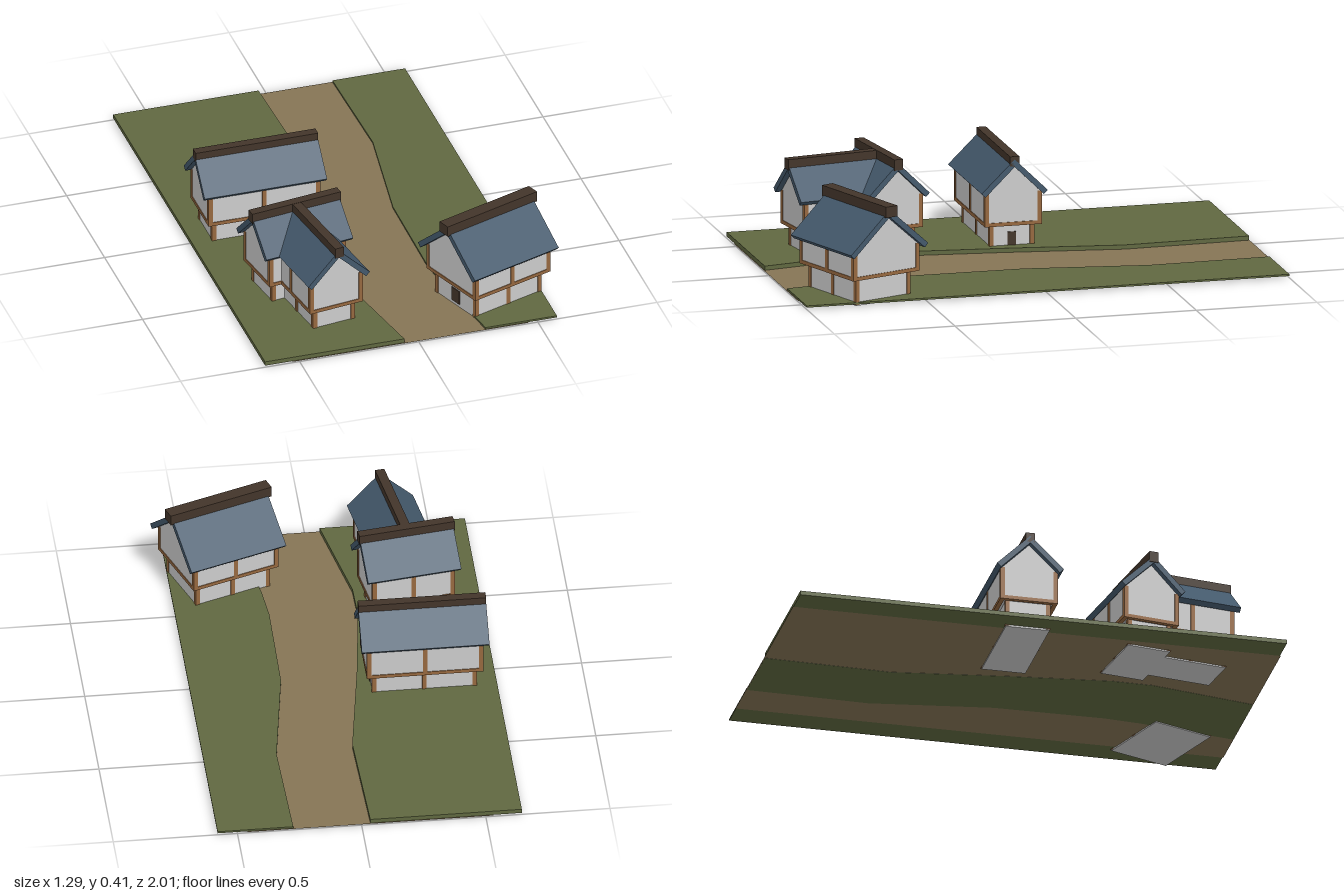
import * as THREE from 'three';

const mat = (color, extra = {}) => new THREE.MeshStandardMaterial({ color, flatShading: true, ...extra });
const wall = mat(0xcccccc);
const wood = mat(0x96683f);
const slate = mat(0x44596c);
const dark = mat(0x43352a);
const grass = mat(0x606840);
const dirt = mat(0x857455, { side: THREE.DoubleSide });

function add(parent, name, geometry, material, x = 0, y = 0, z = 0) {
  const mesh = new THREE.Mesh(geometry, material);
  mesh.name = name;
  mesh.position.set(x, y, z);
  parent.add(mesh);
  return mesh;
}

function box(parent, name, material, x0, x1, y0, y1, z0, z1) {
  return add(parent, name, new THREE.BoxGeometry(x1 - x0, y1 - y0, z1 - z0), material,
    (x0 + x1) / 2, (y0 + y1) / 2, (z0 + z1) / 2);
}

// Extrude a [z, y] cross-section along x, centred
function prism(points, length) {
  const shape = new THREE.Shape(points.map(p => new THREE.Vector2(...p)));
  return new THREE.ExtrudeGeometry(shape, { depth: length, bevelEnabled: false })
    .translate(0, 0, -length / 2).rotateY(Math.PI / 2);
}

// One gabled block, ridge along x; half = half roof length
function gabledBlock({ half, lower, upper, eave, eaveY, ridgeWidth, ridgeTop = 0.405, ridgeExtra = 0.004, door = 0, doorWidth = 0.036 }) {
  const g = new THREE.Group();
  const apex = 0.388, t = 0.016, inner = apex - 0.031;
  const lowHalf = half - 0.048, upHalf = half - 0.025;
  const slope = (inner - (eaveY - t)) / (eave - t);
  const wallTop = inner - slope * upper + 0.004;

  // Walls: narrow ground floor, overhanging upper floor with gables
  box(g, 'groundFloor', wall, -lowHalf, lowHalf, 0, 0.118, -lower, lower);
  add(g, 'upperFloor', prism([[-upper, 0.113], [upper, 0.113], [upper, wallTop], [0, inner + 0.004], [-upper, wallTop]], 2 * upHalf), wall);

  // Timber frame: posts at corners and mid-wall, beams round the floor line
  const p = 0.009, out = 0.003;
  for (const sz of [-1, 1]) {
    for (const sx of [-1, 0, 1]) {
      const lx = sx * (lowHalf + out - p), lz = sz * (lower + out - p);
      const ux = sx * (upHalf + out - p), uz = sz * (upper + out - p);
      box(g, 'lowerPost', wood, lx - p, lx + p, 0.004, 0.114, lz - p, lz + p);
      box(g, 'upperPost', wood, ux - p, ux + p, 0.114, wallTop, uz - p, uz + p);
    }
    const bz = sz * (upper + out - p);
    box(g, 'sideBeam', wood, -upHalf - out, upHalf + out, 0.11, 0.125, bz - p, bz + p);
    const bx = sz * (upHalf + out - p);
    box(g, 'gableBeam', wood, bx - p, bx + p, 0.11, 0.125, -upper - out, upper + out);
  }

  // Roof and ridge cap
  add(g, 'roof', prism([[0, apex], [-eave, eaveY], [-eave + t, eaveY - t], [0, inner],
    [eave - t, eaveY - t], [eave, eaveY]], 2 * half), slate);
  box(g, 'ridge', dark, -half - ridgeExtra, half + ridgeExtra, 0.36, ridgeTop, -ridgeWidth / 2, ridgeWidth / 2);

  // Door in one gable end
  if (door) {
    const dx = door * lowHalf;
    box(g, 'door', dark, dx - 0.004, dx + 0.004, 0.02, 0.08, -doorWidth / 2, doorWidth / 2);
  }
  return g;
}

function ground() {
  const g = new THREE.Group();
  g.name = 'ground';
  const leftEdge = [[-0.035, -1], [-0.022, -0.48], [-0.095, 0], [-0.145, 0.4], [-0.143, 0.57], [-0.06, 1]];
  const rightEdge = [[0.275, -1], [0.285, -0.5], [0.21, 0], [0.205, 0.45], [0.218, 0.6], [0.28, 1]];
  const outline = pts => new THREE.Shape(pts.map(q => new THREE.Vector2(...q)));
  const slab = (name, pts, y0, y1) => add(g, name,
    new THREE.ExtrudeGeometry(outline(pts), { depth: y1 - y0, bevelEnabled: false }).rotateX(Math.PI / 2), grass, 0, y1, 0);
  slab('leftGrass', [[-0.645, -1], ...leftEdge, [-0.645, 1]], 0.0075, 0.025);
  slab('rightGrass', [[0.58, -1], ...rightEdge, [0.58, 1]], 0.0075, 0.015);
  slab('pathUnderside', [...leftEdge, ...rightEdge.slice().reverse()], 0.004, 0.0048);
  add(g, 'path', new THREE.PlaneGeometry(0.99, 2.006).rotateX(-Math.PI / 2), dirt, -0.035, 0.006, 0);
  return g;
}

export function createModel() {
  const model = new THREE.Group();
  model.name = 'village';
  model.add(ground());

  const narrow = { lower: 0.09, upper: 0.115, eave: 0.137, eaveY: 0.254, ridgeWidth: 0.038 };

  // Long house beside the path
  const longHouse = gabledBlock({ ...narrow, half: 0.257, ridgeTop: 0.4, ridgeExtra: 0, door: 1 });
  longHouse.name = 'longHouse';
  longHouse.position.set(-0.352, 0, -0.045);
  model.add(longHouse);

  // House with a wing at right angles
  const wingHouse = new THREE.Group();
  wingHouse.name = 'wingHouse';
  const main = gabledBlock({ ...narrow, half: 0.193, door: 1 });
  main.name = 'mainBlock';
  const wing = gabledBlock({ ...narrow, half: 0.2, ridgeTop: 0.404 });
  wing.name = 'wing';
  wing.rotation.y = -Math.PI / 2;
  wing.position.z = 0.2;
  wingHouse.add(main, wing);
  wingHouse.position.set(-0.345, 0, 0.45);
  wingHouse.rotation.y = 0.15;
  model.add(wingHouse);

  // Deep house across the path
  const deepHouse = gabledBlock({
    half: 0.211, lower: 0.13, upper: 0.158, eave: 0.188, eaveY: 0.225,
    ridgeWidth: 0.054, ridgeExtra: 0.014, door: -1, doorWidth: 0.05,
  });
  deepHouse.name = 'deepHouse';
  deepHouse.position.set(0.379, 0, 0.727);
  deepHouse.rotation.y = 0.345;
  model.add(deepHouse);

  return model;
}
